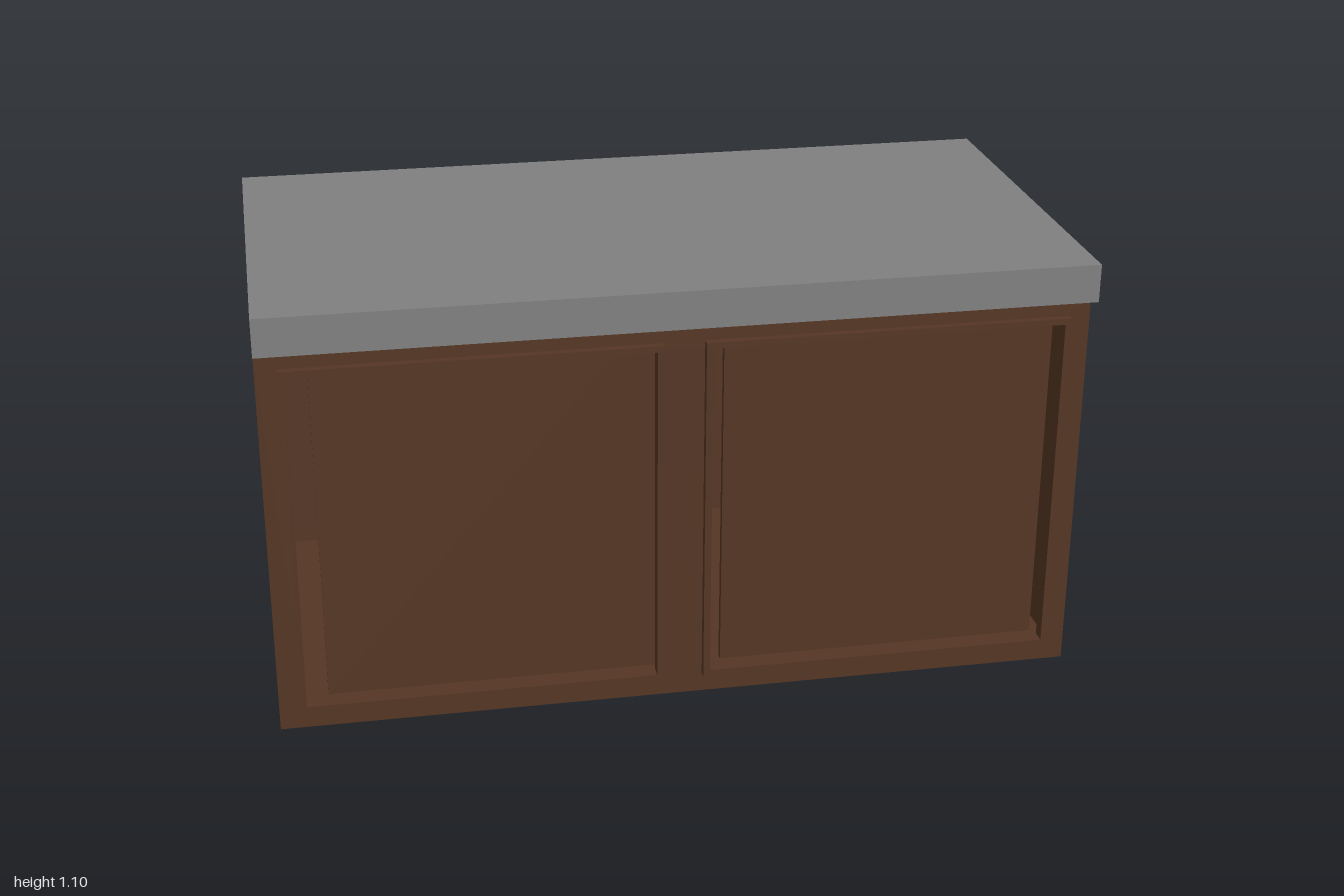
import * as THREE from 'three';

const wood = new THREE.MeshStandardMaterial({ color: 0x553624 });
wood.name = 'brown wood';
const stone = new THREE.MeshStandardMaterial({ color: 0x808080 });
stone.name = 'grey stone';

const T = 0.015; // board thickness
const BACK = -0.525, FRONT = 0.475;

// Box given by its minimum and maximum corners
function board(name, material, [x0, y0, z0], [x1, y1, z1]) {
  const mesh = new THREE.Mesh(new THREE.BoxGeometry(x1 - x0, y1 - y0, z1 - z0), material);
  mesh.position.set((x0 + x1) / 2, (y0 + y1) / 2, (z0 + z1) / 2);
  mesh.name = name;
  return mesh;
}

function rectangle(PathClass, x0, y0, x1, y1) {
  return new PathClass().moveTo(x0, y0).lineTo(x1, y0).lineTo(x1, y1).lineTo(x0, y1).closePath();
}

// Flat sheet with rectangular openings, from z0 to z1
function cutSheet(name, outline, openings, z0, z1) {
  const shape = rectangle(THREE.Shape, ...outline);
  for (const o of openings) shape.holes.push(rectangle(THREE.Path, ...o));
  const geometry = new THREE.ExtrudeGeometry(shape, { depth: z1 - z0, bevelEnabled: false });
  const mesh = new THREE.Mesh(geometry, wood);
  mesh.position.z = z0;
  mesh.name = name;
  return mesh;
}

export function createModel() {
  const model = new THREE.Group();
  model.name = 'counterCabinet';

  // Countertop overhanging the front
  model.add(board('countertop', stone, [-1, 1, BACK], [1, 1.095, 0.525]));

  // Hollow carcass
  const inner = FRONT - T;
  model.add(
    board('floorPanel', wood, [-1, 0, BACK], [1, T, inner]),
    board('backPanel', wood, [-1, T, BACK], [1, 1, BACK + T]),
    board('rightPanel', wood, [-1, T, BACK + T], [-1 + T, 1, inner]),
    board('leftPanel', wood, [1 - T, T, BACK + T], [1, 1, inner])
  );

  // Front face with two openings
  const openings = [-0.5, 0.5].map(c => [c - 0.433, 0.067, c + 0.433, 0.935]);
  model.add(cutSheet('frontPanel', [-1, 0, 1, 1], openings, inner, FRONT));

  // Raised frames and the recessed sliding doors, each left slightly open
  [-0.5, 0.5].forEach((c, i) => {
    const side = i === 0 ? 'right' : 'left';
    model.add(cutSheet(side + 'DoorFrame', [c - 0.45, 0.05, c + 0.45, 0.95], [openings[i]], FRONT, 0.495));
    model.add(board(side + 'SlidingDoor', wood, [c - 0.377, T, 0.335], [c + 0.455, 1, 0.353]));
  });

  return model;
}
